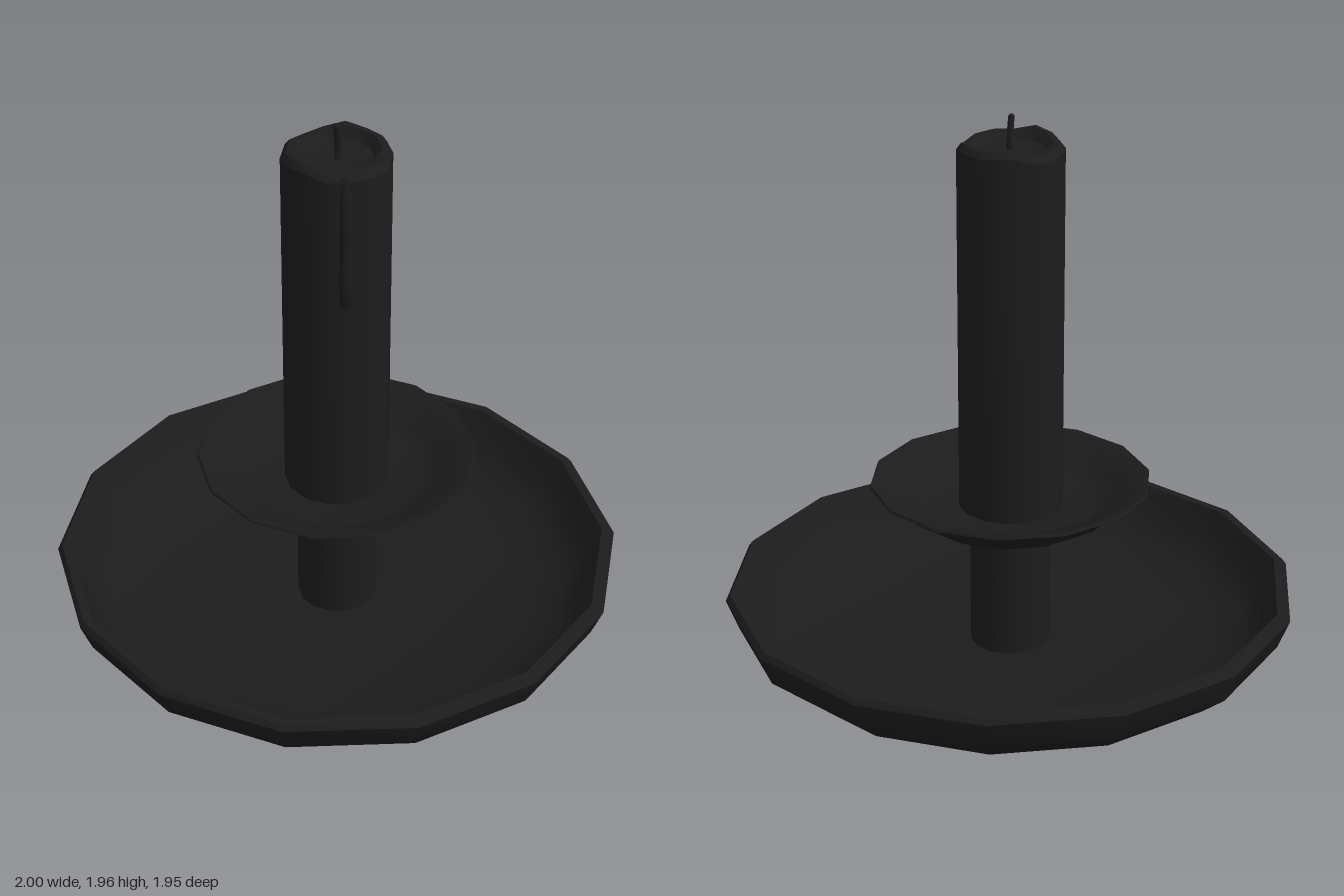
import * as THREE from 'three';
import { toCreasedNormals } from 'three/addons/utils/BufferGeometryUtils.js';

const SIDES = 14;

export function createModel() {
  const group = new THREE.Group();
  const material = new THREE.MeshStandardMaterial({ color: 0x1c1c1c });

  function add(name, geometry) {
    const mesh = new THREE.Mesh(geometry, material);
    mesh.name = name;
    group.add(mesh);
    return mesh;
  }

  // Turned shape with a corner on +x; profile runs from the bottom centre, outside, to the top centre
  function turned(profile) {
    const points = profile.map(([r, y]) => new THREE.Vector2(r, y));
    return new THREE.LatheGeometry(points, SIDES, Math.PI / 2);
  }
  const crease = (geometry) => toCreasedNormals(geometry, 0.62);

  // Wide shallow dish with a thick rim
  add('dish', crease(turned([
    [0, 0.006], [0.69, 0.006], [0.87, 0.08], [0.96, 0.155], [1, 0.26], [0.985, 0.28],
    [0.955, 0.28], [0.945, 0.265], [0.91, 0.17], [0.83, 0.1], [0.68, 0.05], [0, 0.05],
  ])));

  // Stem passing through the dish floor into the cup
  add('stem', crease(turned([[0, 0], [0.142, 0], [0.142, 0.56], [0, 0.56]])));

  // Flared drip cup
  add('dripCup', crease(turned([
    [0, 0.538], [0.31, 0.538], [0.385, 0.585], [0.425, 0.63], [0.49, 0.658], [0.486, 0.666],
    [0.41, 0.645], [0.37, 0.6], [0.3, 0.57], [0, 0.57],
  ])));

  // Candle with an uneven melted rim around a shallow pool
  const candle = turned([
    [0, 0.56], [0.182, 0.56], [0.182, 1.2], [0.182, 1.845], [0.165, 1.867],
    [0.145, 1.867], [0.12, 1.84], [0, 1.83],
  ]);
  const pos = candle.attributes.position;
  for (let i = 0; i < pos.count; i++) {
    const x = pos.getX(i), y = pos.getY(i), z = pos.getZ(i);
    if (y < 1.842) continue;
    const a = Math.atan2(z, x);
    pos.setY(i, y + 0.01 * Math.cos(2 * a) + 0.008 * Math.cos(5 * a + 2.6));
  }
  add('candle', crease(candle)).position.x = -0.004;

  // Wax run down the front right side of the candle
  const run = new THREE.CatmullRomCurve3([
    new THREE.Vector3(-0.112, 1.85, 0.112),
    new THREE.Vector3(-0.122, 1.76, 0.122),
    new THREE.Vector3(-0.122, 1.55, 0.122),
    new THREE.Vector3(-0.125, 1.42, 0.125),
    new THREE.Vector3(-0.11, 1.36, 0.11),
  ]);
  add('waxRun', new THREE.TubeGeometry(run, 10, 0.024, 8));

  // Slightly bent wick with a closed tip
  const wickPath = new THREE.CatmullRomCurve3([
    new THREE.Vector3(0.003, 1.82, 0),
    new THREE.Vector3(0.003, 1.89, 0),
    new THREE.Vector3(-0.006, 1.952, 0),
  ]);
  add('wick', new THREE.TubeGeometry(wickPath, 8, 0.011, 8));
  add('wickTip', new THREE.SphereGeometry(0.011, 8, 6)).position.set(-0.006, 1.95, 0);

  return group;
}
